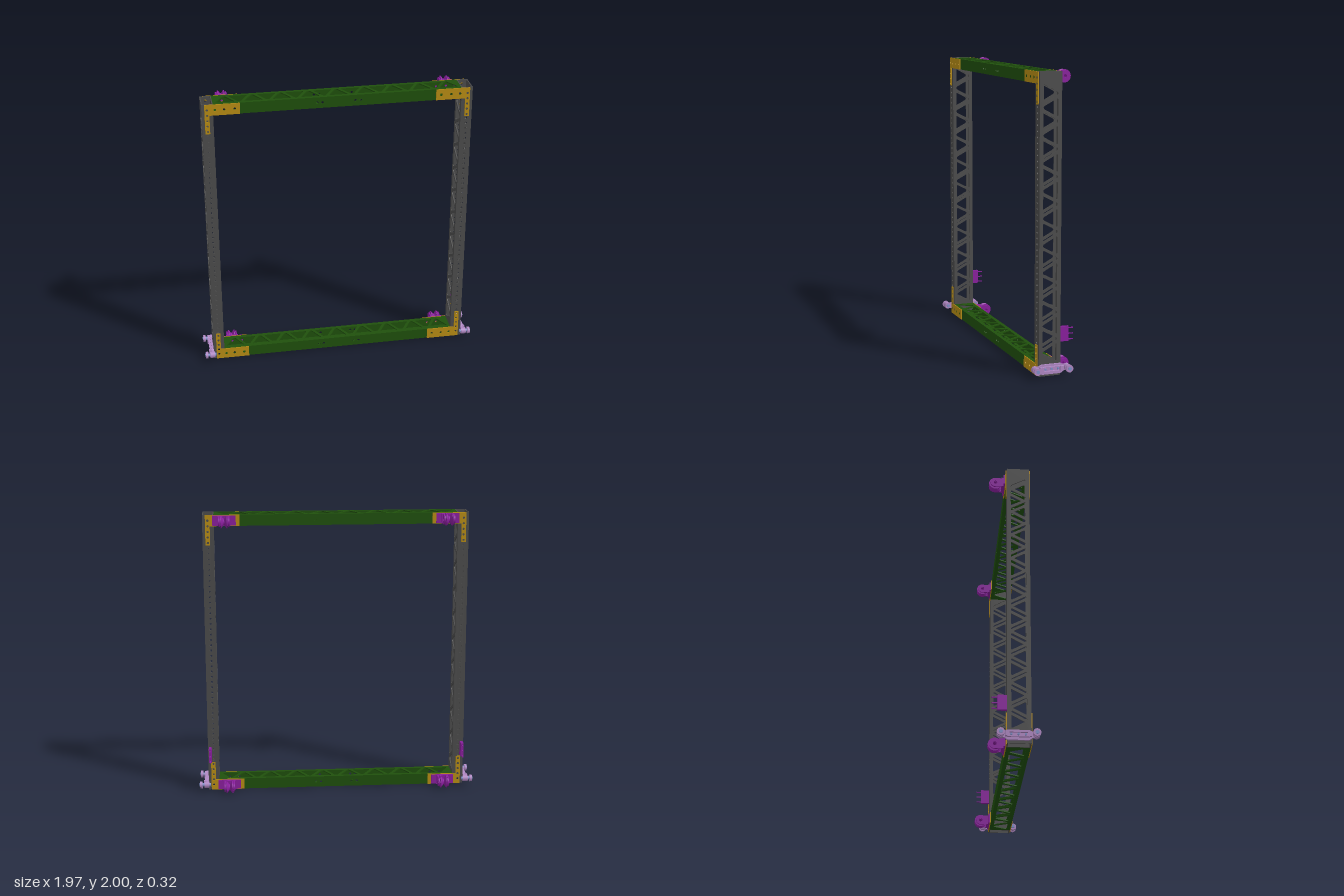
import * as THREE from 'three';

const paint = (color) => new THREE.MeshStandardMaterial({ color });
const GREY = paint(0x4c4c4c), GREEN = paint(0x1f500c), GOLD = paint(0xb88d14);
const PURPLE = paint(0x8a1f9e), LILAC = paint(0xb088c4), BLUE = paint(0x7f8fc8);

const WALL = 0.007, SECTION = 0.077, DEPTH = 0.152, ZMID = 0.031;
const LOW = 0.0465, HIGH = 1.9555, POST_X = 0.881, HOLE_R = 0.009;

function mesh(name, geometry, material, x = 0, y = 0, z = 0) {
  const m = new THREE.Mesh(geometry, material);
  m.name = name;
  m.position.set(x, y, z);
  return m;
}

function box(name, material, w, h, d, x, y, z) {
  return mesh(name, new THREE.BoxGeometry(w, h, d), material, x, y, z);
}

// Cylinder along x between x0 and x1
function rod(name, material, r, x0, x1, y, z, sides = 24) {
  const g = new THREE.CylinderGeometry(r, r, Math.abs(x1 - x0), sides).rotateZ(Math.PI / 2);
  return mesh(name, g, material, (x0 + x1) / 2, y, z);
}

const polygon = (pts) => new THREE.Shape(pts.map(([x, y]) => new THREE.Vector2(x, y)));
const rect = (w, h) => polygon([[-w / 2, -h / 2], [w / 2, -h / 2], [w / 2, h / 2], [-w / 2, h / 2]]);
const hole = (x, y, r = HOLE_R) => new THREE.Path().absarc(x, y, r, 0, Math.PI * 2, true);
const plate = (shape, depth, curveSegments = 6) =>
  new THREE.ExtrudeGeometry(shape, { depth, bevelEnabled: false, curveSegments });

// Closed path with softened corners
function roundedPath(pts, r) {
  const path = new THREE.Path();
  const v = pts.map(([x, y]) => new THREE.Vector2(x, y));
  v.forEach((p, i) => {
    const a = v[(i + v.length - 1) % v.length], b = v[(i + 1) % v.length];
    const step = (q) => p.clone().add(q.clone().sub(p).setLength(Math.min(r, p.distanceTo(q) * 0.45)));
    const s = step(a), e = step(b);
    if (i === 0) path.moveTo(s.x, s.y); else path.lineTo(s.x, s.y);
    path.quadraticCurveTo(p.x, p.y, e.x, e.y);
  });
  path.closePath();
  return path;
}

// Open box tube along x: lattice on two faces, bolt holes on the other two
function latticeTube(name, material, length, count, pitch, shift, firstSign, holes) {
  const group = new THREE.Group();
  group.name = name;
  const lattice = rect(length, DEPTH);
  for (let i = 0; i < count; i++) {
    const c = (i - (count - 1) / 2) * pitch + shift;
    const s = i % 2 ? -firstSign : firstSign;
    const base = pitch * 0.68, tip = pitch * 0.085, h = 0.05 * s;
    lattice.holes.push(roundedPath([[c - base, h], [c + base, h], [c + tip, -h], [c - tip, -h]], 0.012));
  }
  const drilled = rect(length, SECTION - 2 * WALL);
  drilled.holes.push(...holes.map((x) => hole(x, 0)));
  const web = plate(lattice, WALL, 4).rotateX(Math.PI / 2);
  const side = plate(drilled, WALL);
  group.add(
    mesh('latticeFace', web, material, 0, SECTION / 2, 0),
    mesh('latticeFace', web, material, 0, -SECTION / 2 + WALL, 0),
    mesh('drilledFace', side, material, 0, 0, DEPTH / 2 - WALL),
    mesh('drilledFace', side, material, 0, 0, -DEPTH / 2)
  );
  return group;
}

// L-shaped corner gusset, sx and up choose the corner
function gusset(sx, up, z) {
  const y = up < 0 ? HIGH : LOW, h = SECTION / 2;
  const shape = polygon([[0.665, -h], [0.9, -h], [0.9, 0.17], [0.868, 0.17], [0.868, h], [0.665, h]]
    .map(([px, py]) => [px * sx, py * up]));
  for (const x of [0.7, 0.77, 0.83]) shape.holes.push(hole(x * sx, 0));
  for (let i = 0; i < 5; i++) shape.holes.push(hole(0.883 * sx, up * i * 0.0385, 0.008));
  return mesh('cornerGusset', plate(shape, 0.006), GOLD, 0, y, z);
}

// Grooved pulley held between two cheeks on a base plate
function pulley(x, y) {
  const group = new THREE.Group();
  group.name = 'pulley';
  group.position.set(x, y, -0.051);
  group.add(box('pulleyBase', PURPLE, 0.16, 0.068, 0.01, 0, 0, -0.005));
  group.add(box('pulleyFoot', PURPLE, 0.09, 0.066, 0.012, 0, 0, -0.016));
  const cheek = new THREE.Shape();
  cheek.moveTo(0.01, -0.033);
  cheek.lineTo(0.063, -0.033);
  cheek.absarc(0.063, 0, 0.033, -Math.PI / 2, Math.PI / 2, false);
  cheek.lineTo(0.01, 0.033);
  cheek.closePath();
  cheek.holes.push(hole(0.063, 0, 0.012));
  const g = plate(cheek, 0.01, 10).rotateY(Math.PI / 2);
  group.add(mesh('pulleyCheek', g, PURPLE, -0.038, 0, 0), mesh('pulleyCheek', g, PURPLE, 0.028, 0, 0));
  const profile = [[0.012, -0.024], [0.043, -0.024], [0.043, -0.018], [0.022, -0.003],
    [0.022, 0.003], [0.043, 0.018], [0.043, 0.024], [0.012, 0.024], [0.012, -0.024]];
  const wheel = new THREE.LatheGeometry(profile.map(([r, t]) => new THREE.Vector2(r, t)), 28);
  const m = mesh('pulleyWheel', wheel.rotateZ(Math.PI / 2), PURPLE.clone(), 0, 0, -0.063);
  m.material.side = THREE.DoubleSide;
  m.material.flatShading = true;
  group.add(m);
  return group;
}

// Small switch with three pins behind the post
function limitSwitch(s) {
  const group = new THREE.Group();
  group.name = 'limitSwitch';
  group.add(box('switchBody', PURPLE, 0.02, 0.1, 0.06, s * 0.903, 0.28, -0.075));
  for (const y of [0.24, 0.278, 0.316])
    group.add(box('switchPin', PURPLE, 0.008, 0.006, 0.035, s * 0.903, y, -0.122));
  return group;
}

// Roller carriage on the outer side of the post foot
function carriage(s) {
  const group = new THREE.Group();
  group.name = 'rollerCarriage';
  const y = 0.06, mid = 0.024, reach = 0.112;
  const arm = roundedPath([[-0.125, -0.02], [-0.085, -0.02], [-0.07, -0.036], [0.07, -0.036], [0.085, -0.02],
    [0.125, -0.02], [0.125, 0.02], [0.085, 0.02], [0.07, 0.03], [-0.07, 0.03], [-0.085, 0.02], [-0.125, 0.02]], 0.01);
  const shape = new THREE.Shape(arm.getPoints(4));
  const g = plate(shape, 0.014).rotateY(Math.PI / 2);
  group.add(mesh('carriagePlate', g, LILAC, s > 0 ? 0.92 : -0.934, y, mid));
  for (const dy of [-0.016, 0.014])
    group.add(box('carriageRib', LILAC, 0.014, 0.007, 0.14, s * 0.94, y + dy, mid));
  for (const d of [-1, 1]) {
    const z = mid + d * reach;
    group.add(box('carriageBlock', LILAC, 0.02, 0.032, 0.025, s * 0.943, y, mid + d * 0.07));
    group.add(rod('rollerBoss', LILAC, 0.023, s * 0.915, s * 0.95, y, z));
    group.add(rod('rollerAxle', BLUE, 0.012, s * 0.905, s * 0.985, y, z, 16));
    group.add(rod('rollerDisc', LILAC, 0.025, s * 0.963, s * 0.98, y, z));
  }
  for (const d of [-0.045, 0, 0.045])
    group.add(rod('carriageBolt', BLUE, 0.007, s * 0.93, s * 0.945, y, mid + d, 12));
  return group;
}

export function createModel() {
  const model = new THREE.Group();
  model.name = 'liftFrame';

  // Crossbeams
  const half = [0.112, 0.147, 0.7, 0.77, 0.83];
  const beamHoles = half.flatMap((x) => [-x, x]);
  for (const y of [LOW, HIGH]) {
    const beam = latticeTube('crossbeam', GREEN, POST_X * 2 - SECTION, 17, 0.095, 0, 1, beamHoles);
    beam.position.set(0, y, ZMID);
    model.add(beam);
  }

  // Uprights
  const postHoles = Array.from({ length: 51 }, (_, i) => (i - 25) * 0.0385);
  for (const s of [-1, 1]) {
    const post = latticeTube('upright', GREY, HIGH - LOW + SECTION, 20, 0.089, 0.009, -1, postHoles);
    post.rotation.z = Math.PI / 2;
    post.position.set(s * POST_X, (LOW + HIGH) / 2, ZMID);
    model.add(post);

    // Corner fittings
    for (const up of [-1, 1]) {
      model.add(gusset(s, up, ZMID + DEPTH / 2), gusset(s, up, ZMID - DEPTH / 2 - 0.006));
      model.add(pulley(s * 0.77, up < 0 ? HIGH : LOW));
    }
    model.add(limitSwitch(s), carriage(s));
  }
  return model;
}
